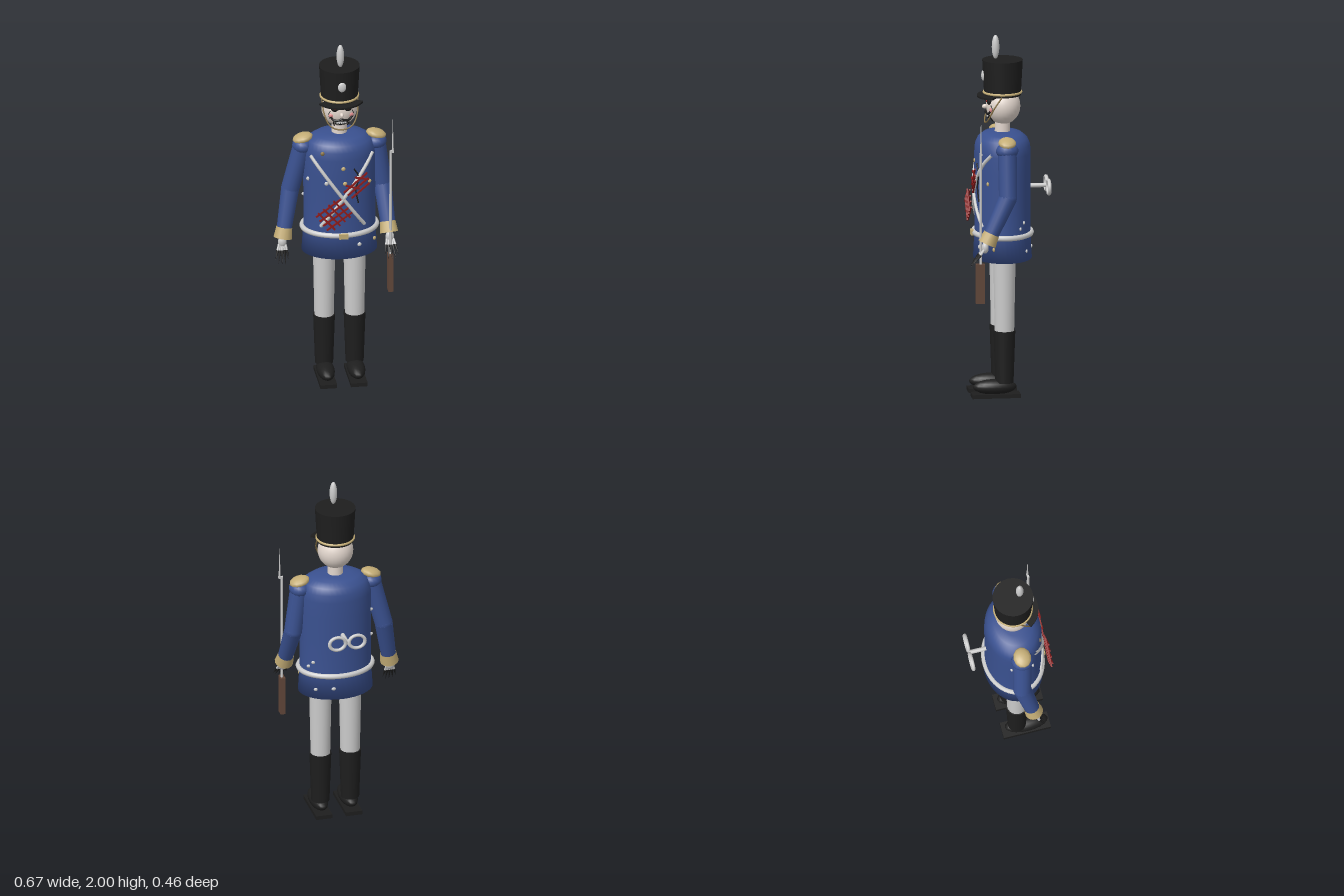
import * as THREE from 'three';

const V = (x, y, z) => new THREE.Vector3(x, y, z);
const mat = (color) => new THREE.MeshStandardMaterial({ color, side: THREE.DoubleSide });
const BLUE = mat(0x3a5190), BLACK = mat(0x1e1e1e), GOLD = mat(0xc4ad76), GREY = mat(0xcccccc),
  RED = mat(0x8e1c1c), SKIN = mat(0xe2d6cd), BROWN = mat(0x62473a), PINK = mat(0xd98a8a), STRAP = mat(0x8a7448);

function add(parent, name, geo, material, p = V(0, 0, 0)) {
  const m = new THREE.Mesh(geo, material);
  m.name = name;
  m.position.copy(p);
  parent.add(m);
  return m;
}
function ball(parent, name, p, rx, ry, rz, material, seg = 16) {
  const m = add(parent, name, new THREE.SphereGeometry(1, seg, Math.max(8, seg * 0.6 | 0)), material, p);
  m.scale.set(rx, ry, rz);
  return m;
}
// Tapered rod from a to b
function limb(parent, name, a, b, ra, rb, material, seg = 14, open = false) {
  const d = b.clone().sub(a);
  const m = add(parent, name, new THREE.CylinderGeometry(rb, ra, d.length(), seg, 1, open), material,
    a.clone().add(b).multiplyScalar(0.5));
  m.quaternion.setFromUnitVectors(V(0, 1, 0), d.normalize());
  return m;
}
function tube(parent, name, pts, r, material, closed = false) {
  const curve = new THREE.CatmullRomCurve3(pts, closed);
  return add(parent, name, new THREE.TubeGeometry(curve, closed ? 48 : 20, r, 8, closed), material);
}

// Coat profile as [half width, height]; depth is a fixed share of the width
const DEPTH = 0.77;
const COAT = [[0, 0.765], [0.207, 0.765], [0.197, 0.92], [0.197, 1.1], [0.199, 1.25], [0.199, 1.35],
  [0.194, 1.395], [0.175, 1.43], [0.135, 1.455], [0.08, 1.464], [0, 1.466]];
function coatRadius(y) {
  for (let i = 2; i < COAT.length; i++) {
    const [r0, y0] = COAT[i - 1], [r1, y1] = COAT[i];
    if (y <= y1) return r0 + (r1 - r0) * (y - y0) / (y1 - y0);
  }
  return 0;
}
function onCoat(x, y, lift = 0) {
  const r = coatRadius(y);
  return V(x, y, DEPTH * Math.sqrt(Math.max(0, r * r - x * x)) + lift);
}

function buildTorso(g) {
  const coat = add(g, 'coat', new THREE.LatheGeometry(COAT.map(([r, y]) => new THREE.Vector2(r, y)), 40), BLUE);
  coat.scale.z = DEPTH;
  const ring = [];
  for (let i = 0; i < 24; i++) {
    const a = i / 24 * Math.PI * 2;
    ring.push(V(0.204 * Math.cos(a), 0.905, 0.156 * Math.sin(a)));
  }
  tube(g, 'belt', ring, 0.015, GREY, true);
  add(g, 'beltBuckle', new THREE.BoxGeometry(0.05, 0.028, 0.016), GOLD, V(0, 0.905, 0.168));
  // Crossed chest straps
  for (const s of [-1, 1]) {
    const pts = [];
    for (let i = 0; i <= 8; i++) {
      const t = i / 8;
      pts.push(onCoat(s * (0.17 - 0.29 * t), 1.365 - 0.41 * t, 0.004));
    }
    tube(g, 'chestStrap', pts, 0.01, GREY);
  }
  // Buttons and chips scattered over the coat
  for (const [x, y, m] of [[0, 1.305, GOLD], [0.01, 1.215, GOLD], [0.1, 0.98, GOLD], [0.18, 0.84, GOLD],
    [-0.11, 1.39, STRAP], [-0.18, 1.22, GREY], [-0.09, 1.215, GREY], [0.09, 0.84, GREY], [0.15, 1.2, GOLD]])
    ball(g, 'button', onCoat(x, y), 0.012, 0.012, 0.007, m, 10);
  for (const [x, y] of [[0.15, 0.98], [0.17, 0.95], [0.14, 0.82], [0.05, 0.83], [-0.185, 1.24], [-0.19, 1.08]]) {
    const p = onCoat(x, y);
    ball(g, 'coatChip', V(p.x, y, -p.z), 0.013, 0.01, 0.007, GREY, 8);
  }
  // Red slashes: [x, y, length, angle, z]
  const slashes = [];
  for (let i = 0; i < 4; i++) {
    const k = (i - 1.5) * 0.028;
    slashes.push([-0.055 + k * 0.7, 1.045 - k, 0.17, 0.62, 0.178]);
    slashes.push([-0.055 + k, 1.045 + k * 0.8, 0.14, -0.85, 0.186]);
  }
  for (let i = 0; i < 3; i++) slashes.push([0.065 + i * 0.014, 1.225 - i * 0.024, 0.17 - i * 0.02, 0.72, 0.168]);
  slashes.push([0.05, 1.2, 0.08, -0.3, 0.17], [0.1, 1.25, 0.08, -0.2, 0.17]);
  for (const [x, y, l, a, z] of slashes)
    add(g, 'slash', new THREE.BoxGeometry(l, 0.009, 0.008), RED, V(x, y, z)).rotation.z = a;
  tube(g, 'crack', [onCoat(0.06, 1.3, 0.004), onCoat(0.085, 1.25, 0.004), onCoat(0.07, 1.17, 0.004),
    onCoat(0.085, 1.09, 0.004)], 0.004, BLACK);
  // Wind-up key
  limb(g, 'keyShaft', V(0, 1.155, -0.13), V(0, 1.155, -0.247), 0.012, 0.012, GREY);
  for (const s of [-1, 1])
    add(g, 'keyRing', new THREE.TorusGeometry(0.045, 0.01, 10, 28), GREY, V(s * 0.055, 1.155, -0.247)).scale.y = 0.85;
}

function buildHead(g) {
  limb(g, 'neck', V(0, 1.44, 0), V(0, 1.54, 0), 0.043, 0.041, SKIN, 20);
  ball(g, 'head', V(0, 1.605, -0.004), 0.098, 0.102, 0.094, SKIN, 28);
  for (const s of [-1, 1]) {
    ball(g, 'eyeSocket', V(s * 0.034, 1.64, 0.077), 0.025, 0.023, 0.014, BLACK);
    ball(g, 'pupil', V(s * 0.034, 1.64, 0.09), 0.007, 0.007, 0.005, RED, 10);
    ball(g, 'cheek', V(s * 0.053, 1.592, 0.07), 0.016, 0.014, 0.009, PINK);
    tube(g, 'moustache', [V(0, 1.577, 0.092), V(s * 0.025, 1.568, 0.09), V(s * 0.047, 1.572, 0.08),
      V(s * 0.058, 1.588, 0.074)], 0.006, BLACK);
    tube(g, 'jawLine', [V(s * 0.04, 1.572, 0.081), V(s * 0.042, 1.55, 0.073), V(s * 0.036, 1.525, 0.055)], 0.003, BLACK);
    tube(g, 'faceCrack', [V(s * 0.06, 1.62, 0.072), V(s * 0.068, 1.6, 0.065), V(s * 0.064, 1.575, 0.066)], 0.002, BLACK);
  }
  ball(g, 'nose', V(0, 1.603, 0.096), 0.011, 0.013, 0.017, SKIN);
  ball(g, 'mouth', V(0, 1.55, 0.074), 0.038, 0.014, 0.012, BLACK);
  for (let i = -2; i <= 2; i++)
    add(g, 'tooth', new THREE.BoxGeometry(0.009, 0.009, 0.006), GREY, V(i * 0.011, 1.552, 0.085 - Math.abs(i) * 0.002));
  tube(g, 'chinStrap', [V(-0.098, 1.67, 0.015), V(-0.092, 1.6, 0.06), V(-0.06, 1.535, 0.088), V(0, 1.515, 0.097),
    V(0.06, 1.535, 0.088), V(0.092, 1.6, 0.06), V(0.098, 1.67, 0.015)], 0.004, STRAP);
  // Tall hat
  limb(g, 'hat', V(0, 1.665, 0), V(0, 1.862, 0), 0.1, 0.111, BLACK, 32);
  add(g, 'hatBand', new THREE.TorusGeometry(0.102, 0.007, 8, 40), GOLD, V(0, 1.682, 0)).rotation.x = Math.PI / 2;
  const visor = new THREE.Shape();
  visor.absarc(0, 0, 0.14, Math.PI / 6, Math.PI * 5 / 6, false);
  visor.absarc(0, 0, 0.092, Math.PI * 5 / 6, Math.PI / 6, true);
  const brim = add(g, 'visor', new THREE.ExtrudeGeometry(visor, { depth: 0.01, bevelEnabled: false, curveSegments: 20 }),
    BLACK, V(0, 1.673, 0));
  brim.rotation.x = Math.PI / 2 + 0.05;
  ball(g, 'hatBadge', V(0, 1.775, 0.106), 0.023, 0.029, 0.011, GREY);
  ball(g, 'plume', V(0, 1.933, 0.038), 0.021, 0.067, 0.021, GREY, 20);
}

function buildArm(g, side, shoulder, elbow, wrist, dir) {
  const arm = new THREE.Group();
  arm.name = side + 'Arm';
  g.add(arm);
  ball(arm, 'shoulder', shoulder, 0.058, 0.045, 0.062, BLUE);
  limb(arm, 'upperSleeve', shoulder, elbow, 0.052, 0.05, BLUE);
  ball(arm, 'elbow', elbow, 0.05, 0.05, 0.05, BLUE);
  limb(arm, 'lowerSleeve', elbow, wrist, 0.05, 0.041, BLUE);
  const along = wrist.clone().sub(elbow).normalize();
  limb(arm, 'cuff', wrist.clone().addScaledVector(along, -0.03), wrist.clone().addScaledVector(along, 0.032),
    0.044, 0.051, GOLD, 14, true);
  const epaulette = ball(arm, 'epaulette', V(shoulder.x, 1.437, 0), 0.057, 0.026, 0.049, GOLD, 12);
  epaulette.rotation.z = -Math.sign(shoulder.x) * 0.25;
  const palm = wrist.clone().addScaledVector(along, 0.055);
  ball(arm, 'palm', palm, 0.024, 0.032, 0.02, GREY);
  // Fingers with long claws
  for (let i = 0; i < 5; i++) {
    const s = (i - 2) / 2;
    const base = palm.clone().add(V(s * 0.018, 0, 0)).addScaledVector(dir, 0.012);
    const len = i === 0 || i === 4 ? 0.09 : 0.115;
    const d = dir.clone().add(V(s * 0.2, 0, 0)).normalize();
    const knuckle = base.clone().addScaledVector(d, 0.035);
    limb(arm, 'finger', base, knuckle, 0.006, 0.007, GREY, 8);
    limb(arm, 'claw', knuckle, base.clone().addScaledVector(d, len), 0.008, 0.0005, BLACK, 8);
  }
}

function buildLeg(g, side, x) {
  const leg = new THREE.Group();
  leg.name = side + 'Leg';
  leg.position.x = x;
  g.add(leg);
  limb(leg, 'trouser', V(0, 0.34, 0), V(0, 0.8, 0), 0.053, 0.062, GREY, 24);
  limb(leg, 'boot', V(0, 0.08, 0), V(0, 0.37, 0), 0.05, 0.06, BLACK, 24);
  ball(leg, 'shoe', V(0, 0.057, 0.053), 0.049, 0.042, 0.12, BLACK, 20);
  add(leg, 'sole', new THREE.BoxGeometry(0.092, 0.022, 0.265), BLACK, V(0, 0.011, 0.048));
}

function buildRifle(g) {
  const rifle = new THREE.Group();
  rifle.name = 'rifle';
  rifle.position.set(0.258, 0, 0.153);
  g.add(rifle);
  add(rifle, 'stock', new THREE.BoxGeometry(0.028, 0.22, 0.05), BROWN, V(0, 0.67, 0.002));
  limb(rifle, 'barrel', V(0.002, 0.77, 0), V(0.002, 1.395, 0), 0.008, 0.007, GREY, 10);
  limb(rifle, 'bayonet', V(0.014, 1.39, 0), V(0.014, 1.585, 0), 0.006, 0.0005, GREY, 8);
  add(rifle, 'bayonetMount', new THREE.BoxGeometry(0.024, 0.012, 0.012), GREY, V(0.008, 1.392, 0));
}

export function createModel() {
  const model = new THREE.Group();
  model.name = 'toySoldier';
  const g = new THREE.Group();
  g.name = 'body';
  g.position.set(0.035, 0, 0.02);
  model.add(g);
  buildTorso(g);
  buildHead(g);
  buildArm(g, 'left', V(0.202, 1.395, 0), V(0.237, 1.14, 0), V(0.255, 0.92, 0.105), V(0.02, -0.78, 0.62));
  buildArm(g, 'right', V(-0.202, 1.395, 0), V(-0.268, 1.13, -0.018), V(-0.311, 0.89, 0.03), V(-0.06, -0.92, 0.38));
  buildLeg(g, 'left', 0.084);
  buildLeg(g, 'right', -0.084);
  buildRifle(g);
  return model;
}
